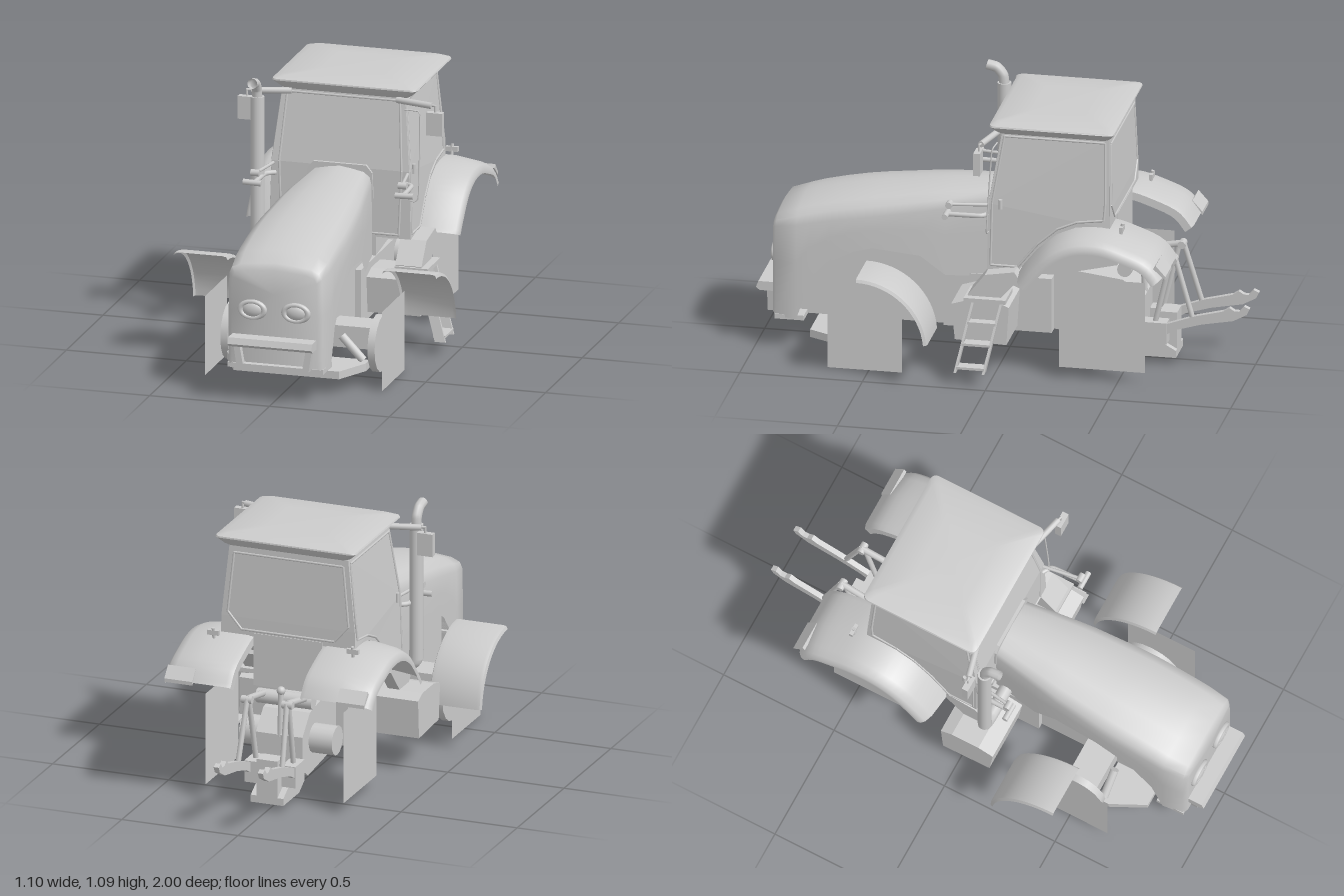
import * as THREE from 'three';
import { toCreasedNormals } from 'three/addons/utils/BufferGeometryUtils.js';

const grey = new THREE.MeshStandardMaterial({ color: 0xcccccc, side: THREE.DoubleSide });
const V = (p) => new THREE.Vector3(...p);
const V2 = (p) => new THREE.Vector2(...p);

export function createModel() {
  const model = new THREE.Group();

  const add = (name, geometry) => {
    const mesh = new THREE.Mesh(geometry, grey);
    mesh.name = name;
    model.add(mesh);
    return mesh;
  };
  // Box given by its limits
  const box = (name, x0, x1, y0, y1, z0, z1) => {
    const g = new THREE.BoxGeometry(Math.abs(x1 - x0), y1 - y0, Math.abs(z1 - z0));
    return add(name, g.translate((x0 + x1) / 2, (y0 + y1) / 2, (z0 + z1) / 2));
  };
  const rod = (name, a, b, r, sides = 12) => {
    const from = V(a), dir = V(b).sub(from);
    const mesh = add(name, new THREE.CylinderGeometry(r, r, dir.length(), sides));
    mesh.position.copy(from).addScaledVector(dir, 0.5);
    mesh.quaternion.setFromUnitVectors(new THREE.Vector3(0, 1, 0), dir.normalize());
  };
  const tube = (name, pts, r) =>
    add(name, new THREE.TubeGeometry(new THREE.CatmullRomCurve3(pts.map(V), false, 'catmullrom', 0.3), 24, r, 10));
  const extrude = (shape, depth) => new THREE.ExtrudeGeometry(shape, { depth, bevelEnabled: false });
  // Side profile of [z, y] points, extruded along x between two limits
  const profile = (pts, xa, xb) =>
    extrude(new THREE.Shape(pts.map(V2)), Math.abs(xb - xa)).rotateY(-Math.PI / 2).translate(Math.max(xa, xb), 0, 0);
  // Skin over a list of equal-length cross-sections
  const loft = (rings, { closed = false, caps = false, crease = 0.7 } = {}) => {
    const n = rings[0].length, pos = rings.flat(2), idx = [];
    for (let i = 0; i < rings.length - 1; i++)
      for (let j = 0; j < (closed ? n : n - 1); j++) {
        const a = i * n + j, b = i * n + (j + 1) % n;
        idx.push(a, b, a + n, b, b + n, a + n);
      }
    if (caps) for (const i of [0, rings.length - 1]) {
      const c = pos.length / 3;
      for (let k = 0; k < 3; k++) pos.push(rings[i].reduce((s, p) => s + p[k], 0) / n);
      for (let j = 0; j < n; j++) {
        const a = i * n + j, b = i * n + (j + 1) % n;
        idx.push(...(i ? [a, b, c] : [b, a, c]));
      }
    }
    const g = new THREE.BufferGeometry();
    g.setAttribute('position', new THREE.Float32BufferAttribute(pos, 3));
    g.setIndex(idx);
    return toCreasedNormals(g, crease);
  };
  const both = (fn) => [1, -1].forEach(fn);

  // Hood: [z, half width, top, bottom edge with wheel arch, shoulder drop]
  const hood = [
    [0.93, 0.178, 0.545, 0.15, 0.04], [0.915, 0.196, 0.572, 0.135, 0.055], [0.83, 0.205, 0.605, 0.13, 0.075],
    [0.78, 0.205, 0.622, 0.28, 0.08], [0.69, 0.204, 0.645, 0.385, 0.085], [0.6, 0.203, 0.664, 0.435, 0.09],
    [0.52, 0.198, 0.677, 0.455, 0.09], [0.33, 0.18, 0.702, 0.43, 0.085], [0.23, 0.165, 0.713, 0.35, 0.08], [0.04, 0.135, 0.725, 0.35, 0.07],
  ].map(([z, w, t, b, d]) => {
    const half = [[w, b], [w, b + (t - d - b) * 0.6], [w * 0.985, t - d], [w * 0.93, t - d * 0.55], [w * 0.75, t - d * 0.26], [w * 0.35, t - d * 0.1]];
    const right = half.map(([x, y]) => [-x, y, z]);
    return [...right, [0, t, z], ...half.reverse().map(([x, y]) => [x, y, z])];
  });
  add('hood', loft(hood, { caps: true, crease: 0.95 }));
  box('hoodLowerPlate', -0.2, 0.2, 0.125, 0.145, 0.8, 0.92);
  add('cowl', extrude(new THREE.Shape([[-0.14, 0.6], [0.14, 0.6], [0.135, 0.705], [0.11, 0.735], [-0.11, 0.735], [-0.135, 0.705]].map(V2)), 0.04));

  // Chassis and engine
  box('engineBlock', -0.125, 0.125, 0.13, 0.55, 0.0, 0.86);
  box('belly', -0.15, 0.15, 0.13, 0.36, -0.2, 0.24);
  add('transmission', profile([[0, 0.13], [-0.2, 0.13], [-0.5, 0.1], [-0.56, 0.14], [-0.56, 0.28], [-0.48, 0.36], [0, 0.42]], -0.1, 0.1));
  add('rearHitchBlock', profile([[-0.47, 0.06], [-0.52, 0.03], [-0.69, 0.03], [-0.69, 0.06], [-0.6, 0.11], [-0.47, 0.11]], -0.07, 0.07));
  box('hitchFrame', -0.045, 0.045, 0.06, 0.215, -0.69, -0.62);
  rod('rearAxle', [-0.2, 0.24, -0.435], [0.2, 0.24, -0.435], 0.06, 16);

  // Front face: headlights, bumper, grille opening
  both((s) => {
    const ring = add('headlightRing', new THREE.TorusGeometry(0.047, 0.012, 8, 24));
    ring.position.set(s * 0.091, 0.377, 0.935);
    ring.scale.set(1.05, 0.72, 1);
    const lamp = add('headlight', new THREE.SphereGeometry(0.045, 20, 12));
    lamp.position.set(s * 0.091, 0.377, 0.93);
    lamp.scale.set(1, 0.72, 0.45);
  });
  const grille = new THREE.Shape([[-0.15, 0.14], [0.15, 0.14], [0.165, 0.24], [-0.165, 0.24]].map(V2));
  grille.holes.push(new THREE.Path([[-0.125, 0.155], [-0.138, 0.23], [0.138, 0.23], [0.125, 0.155]].map(V2)));
  add('grilleFrame', extrude(grille, 0.045).translate(0, 0, 0.912));
  add('frontBumper', profile([[0.93, 0.232], [0.985, 0.232], [1.0, 0.245], [0.99, 0.27], [0.93, 0.27]], -0.175, 0.175));

  // Front axle, hubs, wheel plates and fenders
  const plate = new THREE.Shape([[-0.29, -0.58], [0.29, -0.58], [0.29, -0.63], [0.22, -0.77], [-0.22, -0.77], [-0.29, -0.63]].map(V2));
  add('axlePlate', extrude(plate, 0.032).rotateX(-Math.PI / 2).translate(0, 0.065, 0));
  box('frontAxle', -0.3, 0.3, 0.14, 0.23, 0.45, 0.58);
  both((s) => {
    rod('frontHub', [s * 0.292, 0.147, 0.5], [s * 0.322, 0.147, 0.5], 0.117, 16);
    rod('steeringArm', [s * 0.27, 0.1, 0.6], [s * 0.18, 0.195, 0.6], 0.017);
    const front = add('frontWheelPlate', new THREE.PlaneGeometry(0.305, 0.33));
    front.rotation.y = Math.PI / 2;
    front.position.set(s * 0.37, 0.165, 0.517);
    const rear = add('rearWheelPlate', new THREE.PlaneGeometry(0.35, 0.385));
    rear.rotation.y = Math.PI / 2;
    rear.position.set(s * 0.297, 0.238, -0.435);

    const arc = [];
    for (let i = 0; i <= 16; i++) {
      const a = 0.09 + (i / 16) * 1.48;
      arc.push([[0.322, 0.275], [0.328, 0.287], [0.345, 0.29], [0.53, 0.29], [0.543, 0.287], [0.549, 0.275]]
        .map(([x, r]) => [s * x, 0.165 + r * Math.sin(a), 0.517 - r * Math.cos(a)]));
    }
    add('frontFender', loft(arc));
  });

  // Rear fenders: swept over the wheel, with a rounded outer lip
  const fenderPath = new THREE.SplineCurve([[-0.715, 0.51], [-0.66, 0.575], [-0.56, 0.62], [-0.45, 0.65], [-0.33, 0.642],
    [-0.23, 0.592], [-0.15, 0.51], [-0.097, 0.44]].map(V2)).getPoints(24);
  both((s) => {
    const rings = fenderPath.map((p) => {
      const inward = new THREE.Vector2(-0.43, 0.3).sub(p).normalize();
      return [[0.148, 0.04], [0.15, 0.008], [0.17, 0], [0.31, 0], [0.4, 0.014], [0.432, 0.028], [0.445, 0.045], [0.445, 0.062]]
        .map(([x, d]) => [s * x, p.y + inward.y * d, p.x + inward.x * d]);
    });
    add('rearFender', loft(rings));
    add('tailLight', profile([[-0.72, 0.5], [-0.72, 0.515], [-0.68, 0.56], [-0.67, 0.545]], s * 0.31, s * 0.43));
    rod('markerStalk', [s * 0.3, 0.62, -0.51], [s * 0.3, 0.68, -0.52], 0.007, 8);
    box('marker', s * 0.275, s * 0.325, 0.65, 0.67, -0.525, -0.51);
  });

  // Side tanks, sloped panels to the fenders, platform and ladder on the left
  both((s) => {
    add('sideTank', profile([[0.165, 0.31], [0.15, 0.16], [-0.06, 0.15], [-0.07, 0.31], [-0.02, 0.33], [0.1, 0.33]], s * 0.1, s > 0 ? 0.37 : -0.4));
    add('fenderFrontPanel', profile([[0.03, 0.44], [0.1, 0.35], [0.08, 0.33], [-0.02, 0.33], [-0.11, 0.43], [-0.09, 0.46]], s * 0.25, s > 0 ? 0.36 : -0.3));
  });
  box('stepPlatform', 0.25, 0.39, 0.33, 0.347, -0.06, 0.11);
  const onLadder = (t, z) => [0.358 + 0.09 * t, 0.33 - 0.275 * t, z + 0.055 * t];
  for (const z of [0.075, -0.04])
    add('ladderRail', loft([0, 1].map((t) => {
      const [x, y, q] = onLadder(t, z);
      return [[x - 0.022, y, q - 0.005], [x + 0.022, y, q - 0.005], [x + 0.022, y, q + 0.005], [x - 0.022, y, q + 0.005]];
    }), { closed: true, caps: true }));
  for (const t of [0.3, 0.6, 0.93]) {
    const [x, y, z] = onLadder(t, -0.04);
    box('ladderStep', x - 0.025, x + 0.025, y - 0.005, y + 0.005, z, z + 0.115);
  }

  // Cab: side profile tapered in width with height
  const halfWidth = (y) => (y < 0.72 ? 0.295 - (y - 0.44) * 0.03 : 0.287 - (y - 0.72) * 0.105);
  const cab = profile([[0.035, 0.44], [-0.09, 0.44], [-0.17, 0.54], [-0.25, 0.61], [-0.33, 0.645], [-0.465, 0.645],
    [-0.465, 0.72], [-0.457, 1.02], [-0.02, 1.02], [0.03, 0.72]], -1, 1);
  const cp = cab.attributes.position;
  for (let i = 0; i < cp.count; i++) cp.setX(i, cp.getX(i) * halfWidth(cp.getY(i)));
  cab.computeVertexNormals();
  add('cab', cab);
  add('cabBase', profile([[0.03, 0.36], [-0.3, 0.4], [-0.468, 0.44], [-0.468, 0.66], [0.03, 0.66]], -0.148, 0.148));

  // Window seals and door handle
  const frame = (name, pts) => pts.forEach((p, i) => rod(name, p, pts[(i + 1) % pts.length], 0.005, 6));
  both((s) => {
    frame('sideWindowSeal', [[0.02, 0.46], [-0.09, 0.46], [-0.17, 0.56], [-0.25, 0.63], [-0.33, 0.665], [-0.44, 0.68],
      [-0.445, 0.75], [-0.44, 1.0], [-0.03, 1.0], [0.015, 0.72]].map(([z, y]) => [s * halfWidth(y), y, z]));
    rod('doorHandle', [s * 0.292, 0.7, -0.02], [s * 0.292, 0.74, -0.02], 0.008, 8);
  });
  frame('windscreenSeal', [[-0.245, 0.455, 0.035], [-0.255, 0.72, 0.03], [-0.235, 1.0, -0.017], [0.235, 1.0, -0.017], [0.255, 0.72, 0.03], [0.245, 0.455, 0.035]]);
  frame('rearWindowSeal', [[-0.26, 0.74, -0.465], [-0.235, 0.99, -0.458], [0.235, 0.99, -0.458], [0.26, 0.74, -0.465], [0.2, 0.67, -0.466], [-0.2, 0.67, -0.466]]);

  // Roof: stacked rounded rectangles
  const roof = [[1.015, 0.26, 0.225], [1.025, 0.275, 0.235], [1.052, 0.303, 0.255], [1.058, 0.3, 0.254], [1.07, 0.265, 0.232], [1.077, 0.14, 0.12]]
    .map(([y, hx, hz]) => {
      const ring = [];
      for (let c = 0; c < 4; c++) for (let k = 0; k < 5; k++) {
        const a = (c + k / 4) * Math.PI / 2, sx = c === 0 || c === 3 ? 1 : -1, sz = c < 2 ? 1 : -1, r = 0.025;
        ring.push([0.01 + sx * (hx - r) + r * Math.cos(a), y, -0.23 + sz * (hz - r) + r * Math.sin(a)]);
      }
      return ring;
    });
  add('roof', loft(roof, { closed: true, caps: true }));

  // Mirrors and work lamps
  both((s) => {
    const m = (x) => s * x + 0.008;
    rod('mirrorBar', [m(0.22), 1.008, 0.0], [m(0.378), 1.008, 0.04], 0.013);
    rod('mirrorStem', [m(0.375), 1.01, 0.04], [m(0.395), 1.01, 0.045], 0.005, 8);
    rod('mirrorHanger', [m(0.393), 1.012, 0.045], [m(0.393), 0.96, 0.045], 0.005, 8);
    box('mirror', m(0.36), m(0.427), 0.89, 0.985, 0.035, 0.062);
    tube('lampArm', [[s * 0.27, 0.67, 0.03], [s * 0.305, 0.67, 0.06], [s * 0.31, 0.67, 0.19]], 0.01);
    rod('lampBar', [s * 0.28, 0.67, 0.195], [s * 0.355, 0.672, 0.195], 0.012);
    rod('workLamp', [s * 0.29, 0.71, 0.185], [s * 0.325, 0.71, 0.185], 0.014);
    rod('lampUpperArm', [s * 0.28, 0.71, 0.03], [s * 0.305, 0.71, 0.185], 0.007, 8);
  });
  tube('handrail', [[0.26, 0.97, 0], [0.322, 0.968, 0.005], [0.326, 0.94, 0.01], [0.326, 0.62, 0.03], [0.29, 0.6, 0.03]], 0.003);

  // Exhaust stack with elbow on the right
  tube('exhaustElbow', [[-0.15, 0.4, 0.09], [-0.28, 0.4, 0.09], [-0.322, 0.42, 0.09], [-0.328, 0.47, 0.09]], 0.028);
  rod('exhaustStack', [-0.328, 0.43, 0.09], [-0.328, 1.0, 0.09], 0.028, 18);
  tube('exhaustTip', [[-0.328, 0.98, 0.09], [-0.328, 1.03, 0.095], [-0.328, 1.062, 0.12], [-0.328, 1.072, 0.16]], 0.021);

  // Rear three-point linkage
  both((s) => {
    const x = s * 0.095;
    add('lowerLink', profile([[-0.6, 0.11], [-0.7, 0.165], [-0.8, 0.195], [-0.93, 0.22], [-0.985, 0.25], [-0.997, 0.275], [-0.975, 0.285],
      [-0.955, 0.262], [-0.935, 0.262], [-0.915, 0.275], [-0.89, 0.258], [-0.78, 0.23], [-0.6, 0.165]], x - 0.011, x + 0.011));
    rod('liftArm', [s * 0.09, 0.42, -0.47], [s * 0.085, 0.465, -0.69], 0.014, 8);
    rod('liftRod', [s * 0.085, 0.465, -0.69], [x, 0.21, -0.765], 0.011, 8);
    rod('liftCylinder', [s * 0.08, 0.15, -0.6], [s * 0.085, 0.45, -0.67], 0.011, 10);
    rod('liftJoint', [s * 0.065, 0.46, -0.685], [s * 0.11, 0.46, -0.685], 0.016);
    box('linkBracket', s * 0.05, s * 0.11, 0.1, 0.19, -0.66, -0.56);
  });
  rod('liftShaft', [-0.12, 0.41, -0.49], [0.12, 0.41, -0.49], 0.03, 16);
  rod('topLink', [0, 0.27, -0.55], [0, 0.46, -0.54], 0.012, 8);
  add('topLinkEnd', new THREE.SphereGeometry(0.018, 12, 8)).position.set(0, 0.46, -0.54);

  return model;
}
